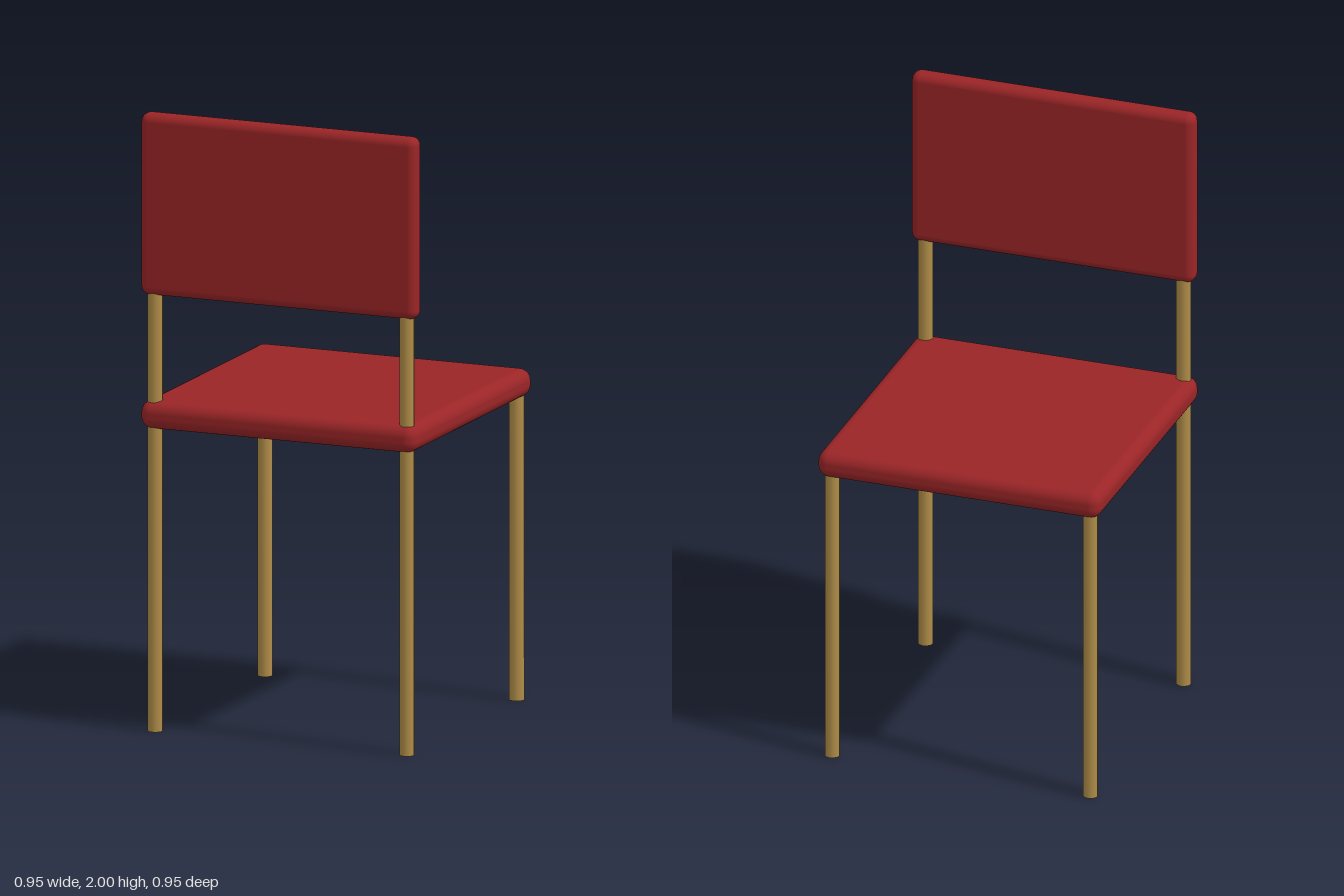
import * as THREE from 'three';
import { RoundedBoxGeometry } from 'three/addons/geometries/RoundedBoxGeometry.js';

export function createModel() {
  const model = new THREE.Group();
  model.name = 'chair';

  const redUpholstery = new THREE.MeshStandardMaterial({ color: 0x9b2527 });
  redUpholstery.name = 'red upholstery';
  const brass = new THREE.MeshStandardMaterial({ color: 0xb08d48 });
  brass.name = 'brass';

  // Padded panel with rounded edges, placed by its centre
  function addPad(name, size, radius, y, z) {
    const pad = new THREE.Mesh(new RoundedBoxGeometry(...size, 4, radius), redUpholstery);
    pad.name = name;
    pad.position.set(0, y, z);
    model.add(pad);
  }

  // Round upright post running from bottom to top
  function addPost(name, x, z, bottom, top) {
    const post = new THREE.Mesh(new THREE.CylinderGeometry(0.024, 0.024, top - bottom, 12), brass);
    post.name = name;
    post.position.set(x, (bottom + top) / 2, z);
    model.add(post);
  }

  addPad('seat', [0.95, 0.09, 0.95], 0.038, 1.025, 0);
  addPad('backrest', [0.95, 0.588, 0.064], 0.028, 1.706, 0.434);

  // Legs at the four corners, with posts carrying the backrest at +z
  for (const [side, x] of [['left', 0.433], ['right', -0.433]]) {
    addPost(`${side}FrontLeg`, x, -0.433, 0, 1.0);
    addPost(`${side}BackLeg`, x, 0.433, 0, 1.0);
    addPost(`${side}BackrestPost`, x, 0.433, 1.05, 1.45);
  }

  return model;
}
